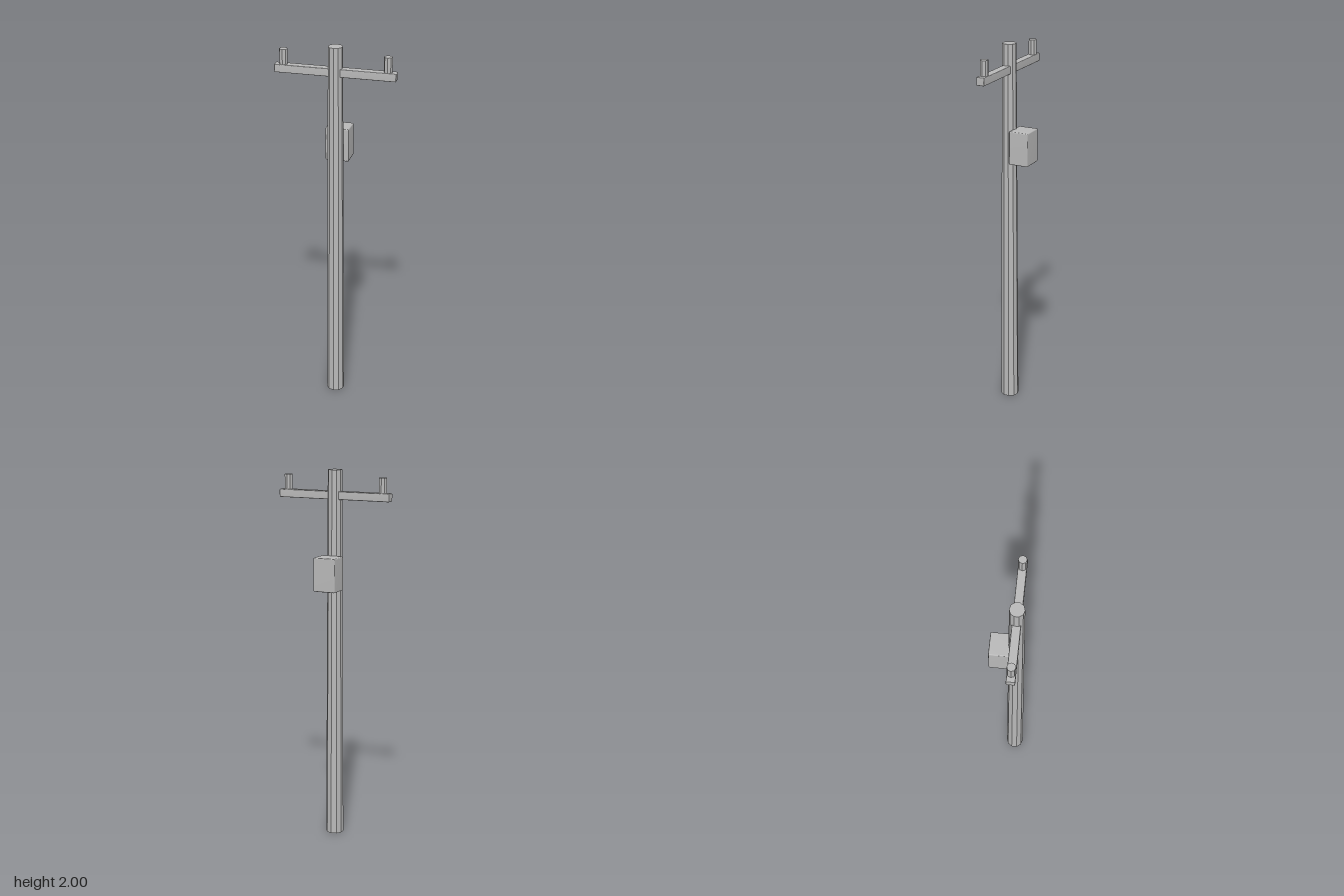
import * as THREE from 'three';
import { RoundedBoxGeometry } from 'three/addons/geometries/RoundedBoxGeometry.js';
import { mergeVertices } from 'three/addons/utils/BufferGeometryUtils.js';

const POLE_Z = 0.044;

// Box with a tiny bevel and softly blended normals
function softBox(w, h, d, bevel) {
  const g = new RoundedBoxGeometry(w, h, d, 1, bevel);
  g.deleteAttribute('normal');
  g.deleteAttribute('uv');
  const merged = mergeVertices(g, 1e-5);
  merged.computeVertexNormals();
  return merged;
}

// Cylinder with faceted sides
function facetedCylinder(top, bottom, height, sides) {
  const g = new THREE.CylinderGeometry(top, bottom, height, sides).toNonIndexed();
  g.computeVertexNormals();
  return g;
}

export function createModel() {
  const model = new THREE.Group();
  model.name = 'utilityPole';
  const grey = new THREE.MeshStandardMaterial({ color: 0xb8b8b8 });
  grey.name = 'plain grey';

  const add = (name, geometry, x, y, z) => {
    const mesh = new THREE.Mesh(geometry, grey);
    mesh.name = name;
    mesh.position.set(x, y, z);
    model.add(mesh);
  };

  // Tapered ten-sided pole
  add('pole', facetedCylinder(0.038, 0.048, 2, 10), 0, 1, POLE_Z);

  // Cross arm through the pole
  add('crossArm', softBox(0.636, 0.043, 0.044, 0.004), 0, 1.866, POLE_Z);

  // Insulators near the arm ends
  for (const [name, side] of [['leftInsulator', 1], ['rightInsulator', -1]]) {
    add(name, facetedCylinder(0.022, 0.022, 0.088, 8), side * 0.273, 1.923, POLE_Z);
  }

  // Transformer box on the back
  add('transformerBox', softBox(0.125, 0.18, 0.108, 0.006), 0, 1.459, -0.038);

  return model;
}
